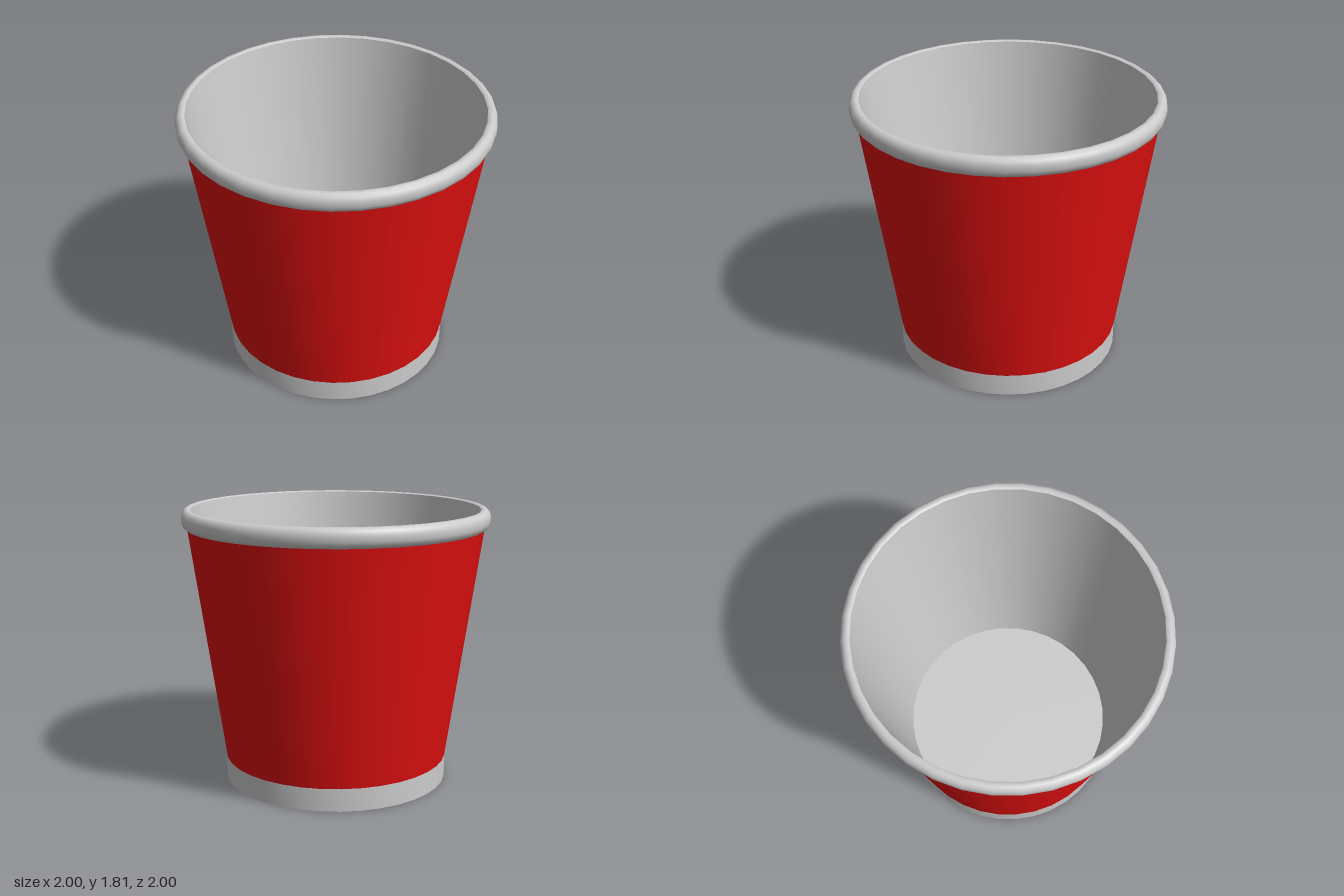
import * as THREE from 'three';
import { toCreasedNormals } from 'three/addons/utils/BufferGeometryUtils.js';

const SEGMENTS = 36;

// Revolve a profile of [radius, height] pairs, keeping its hard edges sharp.
function turned(name, profile, material) {
  const points = profile.map(([r, y]) => new THREE.Vector2(r, y));
  const geometry = toCreasedNormals(new THREE.LatheGeometry(points, SEGMENTS), 0.75);
  const mesh = new THREE.Mesh(geometry, material);
  mesh.name = name;
  return mesh;
}

export function createModel() {
  const grey = new THREE.MeshStandardMaterial({ color: 0xcccccc });
  const red = new THREE.MeshStandardMaterial({ color: 0xe01010 });
  const cup = new THREE.Group();
  cup.name = 'cup';

  // Tapered outer sleeve
  cup.add(turned('sleeve', [[0.74, 0.15], [0.963, 1.69]], red));

  // Rolled lip, open on the inside where the lining meets it
  cup.add(turned('rim', [
    [0.955, 1.69], [0.972, 1.69], [0.989, 1.705], [0.999, 1.73], [1, 1.765],
    [0.991, 1.793], [0.972, 1.809], [0.952, 1.813], [0.938, 1.805],
  ], grey));

  // Inside wall and floor
  cup.add(turned('lining', [[0.938, 1.805], [0.695, 0.15], [0, 0.15]], grey));

  // Straight foot ring with the recessed underside
  cup.add(turned('foot', [
    [0, 0.1], [0.695, 0.1], [0.695, 0], [0.74, 0], [0.74, 0.15],
  ], grey));

  return cup;
}
